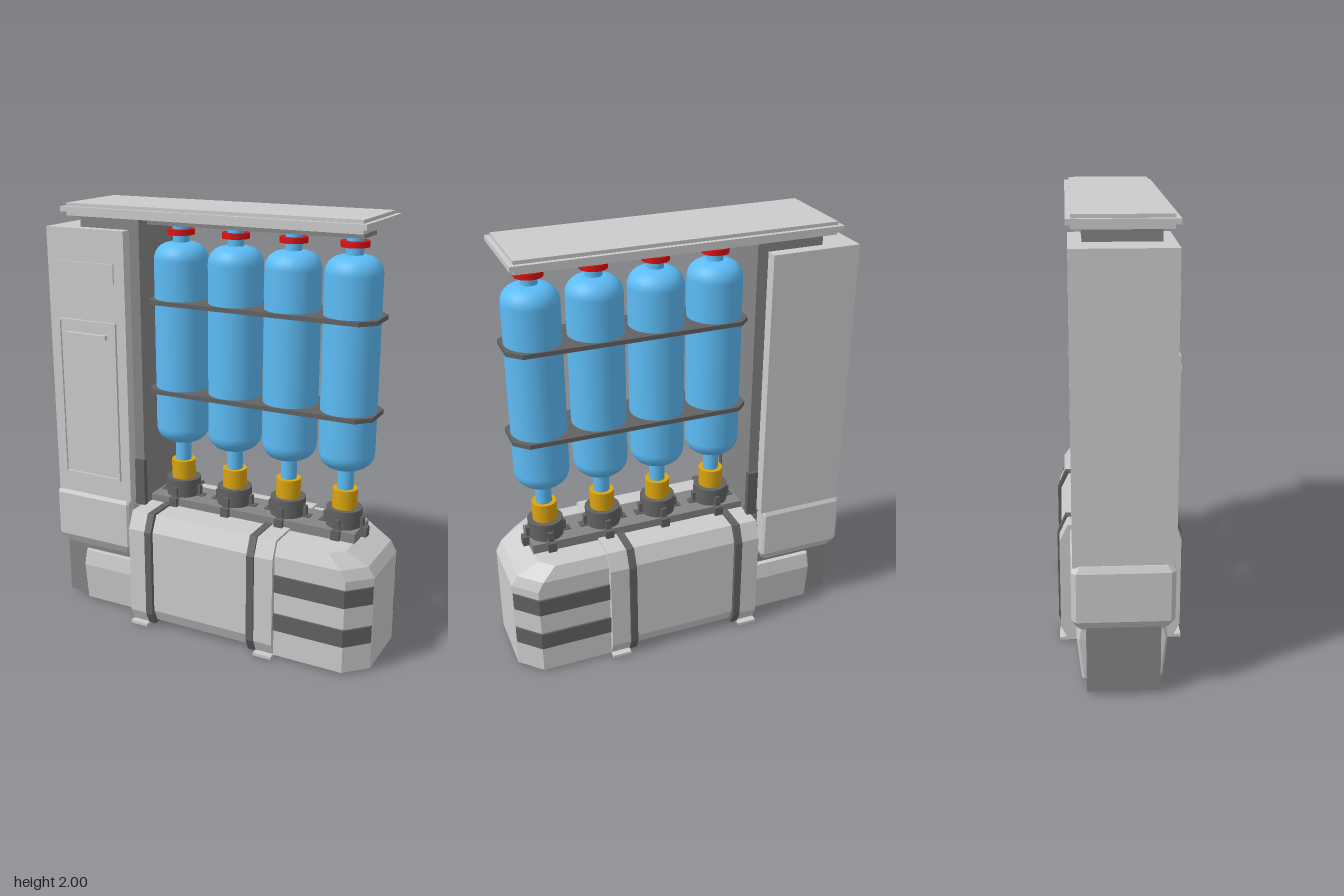
import * as THREE from 'three';

const GREY = 0xcccccc, MID = 0x858585, DARK = 0x626262;
const BLUE = 0x5cbcf6, GOLD = 0xdba510, RED = 0xdd1111;
const mats = {};
function mat(color, flat) {
  const key = color + (flat ? 'f' : 's');
  if (!mats[key]) mats[key] = new THREE.MeshStandardMaterial({ color, flatShading: flat });
  return mats[key];
}

function add(parent, name, geometry, color = GREY, flat = true) {
  const mesh = new THREE.Mesh(geometry, mat(color, flat));
  mesh.name = name;
  parent.add(mesh);
  return mesh;
}

// box given by its minimum and maximum on each axis
function box(parent, name, x0, x1, y0, y1, z0, z1, color) {
  const mesh = add(parent, name, new THREE.BoxGeometry(x1 - x0, y1 - y0, z1 - z0), color);
  mesh.position.set((x0 + x1) / 2, (y0 + y1) / 2, (z0 + z1) / 2);
  return mesh;
}

// plan outline at height y with chamfered corners (cl on the -x end, cr on the +x end)
function plan(y, x0, x1, zc, hz, cl, cr) {
  return [
    [x0 + cl, y, zc + hz], [x1 - cr, y, zc + hz], [x1, y, zc + hz - cr], [x1, y, zc - hz + cr],
    [x1 - cr, y, zc - hz], [x0 + cl, y, zc - hz], [x0, y, zc - hz + cl], [x0, y, zc + hz - cl],
  ];
}

// closed solid through a stack of outlines, bottom to top
function loft(rings) {
  const pos = [];
  const tri = (a, b, c) => pos.push(...a, ...b, ...c);
  const n = rings[0].length, last = rings[rings.length - 1];
  for (let r = 0; r < rings.length - 1; r++) {
    for (let i = 0; i < n; i++) {
      const j = (i + 1) % n, a = rings[r], b = rings[r + 1];
      tri(a[i], a[j], b[j]);
      tri(a[i], b[j], b[i]);
    }
  }
  for (let i = 1; i < n - 1; i++) {
    tri(rings[0][0], rings[0][i + 1], rings[0][i]);
    tri(last[0], last[i], last[i + 1]);
  }
  const g = new THREE.BufferGeometry();
  g.setAttribute('position', new THREE.Float32BufferAttribute(pos, 3));
  g.computeVertexNormals();
  return g;
}

// symmetric z-y profile (half outline, bottom to top) swept from x0 to x1
function sweepX(half, x0, x1) {
  const pts = half.concat(half.map(([z, y]) => [-z, y]).reverse());
  const shape = new THREE.Shape(pts.map(([z, y]) => new THREE.Vector2(z, y)));
  const g = new THREE.ExtrudeGeometry(shape, { depth: x1 - x0, bevelEnabled: false });
  return g.rotateY(Math.PI / 2).translate(x0, 0, 0);
}

function buildCabinet() {
  const g = new THREE.Group();
  g.name = 'cabinet';
  box(g, 'cabinetBody', -0.81, -0.395, 0.6, 1.89, -0.22, 0.197);
  box(g, 'column', -0.655, -0.345, 0.58, 1.945, -0.165, 0.145, MID);
  for (const z of [-0.165, 0.145])
    box(g, 'columnBracket', -0.39, -0.34, 0.58, 0.81, z - 0.013, z + 0.013, DARK);

  // door frame with an open middle, and its handle
  const frame = new THREE.Shape([[-0.76, 0.7], [-0.445, 0.7], [-0.445, 1.47], [-0.76, 1.47]]
    .map((p) => new THREE.Vector2(...p)));
  frame.holes.push(new THREE.Path([[-0.75, 0.71], [-0.75, 1.46], [-0.455, 1.46], [-0.455, 0.71]]
    .map((p) => new THREE.Vector2(...p))));
  add(g, 'doorFrame', new THREE.ExtrudeGeometry(frame, { depth: 0.015, bevelEnabled: false })).position.z = 0.195;
  box(g, 'doorPanel', -0.75, -0.455, 0.71, 1.46, 0.19, 0.2);
  box(g, 'doorHandle', -0.71, -0.495, 1.39, 1.41, 0.195, 0.22);
  box(g, 'labelPlate', -0.755, -0.45, 1.65, 1.74, 0.19, 0.205);

  // chamfered housing under the cabinet
  add(g, 'lowerHousing', loft([
    plan(0.315, -0.805, -0.43, -0.012, 0.19, 0.02, 0.01),
    plan(0.36, -0.83, -0.41, -0.012, 0.215, 0.02, 0.01),
    plan(0.58, -0.83, -0.41, -0.012, 0.215, 0.02, 0.01),
    plan(0.607, -0.815, -0.41, -0.012, 0.2, 0.02, 0.01),
  ]));
  box(g, 'housingLink', -0.42, -0.35, 0.43, 0.5, -0.16, 0.16);
  box(g, 'housingCore', -0.43, -0.34, 0.28, 0.57, -0.15, 0.15, MID);
  box(g, 'footBlock', -0.81, -0.36, 0.02, 0.33, -0.165, 0.145, MID);
  add(g, 'footCover', loft([
    plan(0.01, -0.695, -0.35, -0.01, 0.175, 0.01, 0.01),
    plan(0.2, -0.695, -0.35, -0.01, 0.195, 0.01, 0.01),
    plan(0.275, -0.69, -0.35, -0.01, 0.18, 0.01, 0.01),
  ]));
  return g;
}

function buildTank() {
  const g = new THREE.Group();
  g.name = 'tank';
  const profile = (o, y0) => [[0.235 + o, y0], [0.262 + o, y0 + 0.06], [0.262 + o, 0.5], [0.225 + o, 0.575 + o * 0.5]];
  add(g, 'tankMiddle', sweepX(profile(0.004, 0.03), -0.3, 0.34));
  add(g, 'tankCollarRight', sweepX(profile(0.013, 0.012), -0.36, -0.27));
  add(g, 'tankCollarLeft', sweepX(profile(0.013, 0.012), 0.3, 0.39));
  for (const [x0, f0, f1] of [[-0.27, -0.36, -0.27], [0.265, 0.3, 0.39]]) {
    add(g, 'tankStrap', sweepX(profile(0.022, 0.015), x0, x0 + 0.035), DARK);
    box(g, 'footRail', f0, f1, 0, 0.014, -0.28, 0.28);
  }

  // tapered end of the tank with two wrapped bands
  add(g, 'tankEnd', loft([
    plan(0.012, 0.33, 0.825, 0, 0.25, 0, 0.1),
    plan(0.46, 0.33, 0.825, 0, 0.25, 0, 0.1),
    plan(0.51, 0.33, 0.795, 0, 0.25, 0, 0.095),
    plan(0.57, 0.33, 0.695, 0, 0.225, 0, 0.06),
  ]));
  for (const y of [0.145, 0.337])
    add(g, 'endBand', loft([y, y + 0.083].map((h) => plan(h, 0.385, 0.823, 0, 0.26, 0, 0.096))), DARK);
  box(g, 'mountPlate', -0.345, 0.7, 0.56, 0.615, -0.1, 0.085, MID);
  return g;
}

function buildBottle(x) {
  const g = new THREE.Group();
  g.name = 'bottleUnit';
  g.position.set(x, 0, -0.01);
  const turned = (name, r, y0, y1, color) => {
    add(g, name, new THREE.CylinderGeometry(r, r, y1 - y0, 24), color, false).position.y = (y0 + y1) / 2;
  };

  // bottle body with rounded shoulders
  const pts = [new THREE.Vector2(0.0, 0.888), new THREE.Vector2(0.05, 0.888)];
  const arc = (cy, from, to) => {
    for (let i = 0; i <= 6; i++) {
      const a = from + (to - from) * i / 6;
      pts.push(new THREE.Vector2(0.05 + 0.075 * Math.cos(a), cy + 0.075 * Math.sin(a)));
    }
  };
  arc(0.965, -Math.PI / 2.2, 0);
  arc(1.755, 0, Math.PI / 2.2);
  pts.push(new THREE.Vector2(0.05, 1.832), new THREE.Vector2(0, 1.832));
  add(g, 'bottle', new THREE.LatheGeometry(pts, 32), BLUE, false);
  turned('lowerNeck', 0.037, 0.78, 0.9, BLUE);
  turned('upperNeck', 0.037, 1.82, 1.915, BLUE);
  turned('redRing', 0.062, 1.865, 1.89, RED);
  turned('goldFitting', 0.057, 0.69, 0.79, GOLD);
  turned('socket', 0.082, 0.6, 0.7, DARK);

  // radial lugs and bolts around the socket
  for (let i = 0; i < 4; i++) {
    const arm = new THREE.Group();
    arm.name = 'socketLug';
    arm.rotation.y = i * Math.PI / 2;
    box(arm, 'lug', 0.06, 0.115, 0.575, 0.62, -0.02, 0.02, DARK);
    box(arm, 'lugPin', 0.075, 0.095, 0.6, 0.665, -0.012, 0.012, DARK);
    g.add(arm);
  }
  return g;
}

export function createModel() {
  const model = new THREE.Group();
  model.name = 'bottleStation';
  model.add(buildCabinet(), buildTank());
  for (let i = 0; i < 4; i++) model.add(buildBottle(-0.217 + i * 0.277));

  // plates holding the bottles together
  for (const y of [1.137, 1.557])
    add(model, 'bottleRail', loft([y, y + 0.02].map((h) => plan(h, -0.345, 0.75, -0.01, 0.132, 0.05, 0.06))), DARK);

  // stepped roof and the beam beneath it
  box(model, 'roofBeam', -0.36, 0.68, 1.91, 1.946, -0.085, 0.07, MID);
  box(model, 'roofLower', -0.7, 0.717, 1.943, 1.962, -0.207, 0.187);
  box(model, 'roofMiddle', -0.72, 0.737, 1.962, 1.985, -0.228, 0.208);
  box(model, 'roofTop', -0.7, 0.717, 1.985, 2.0, -0.207, 0.187);
  return model;
}
